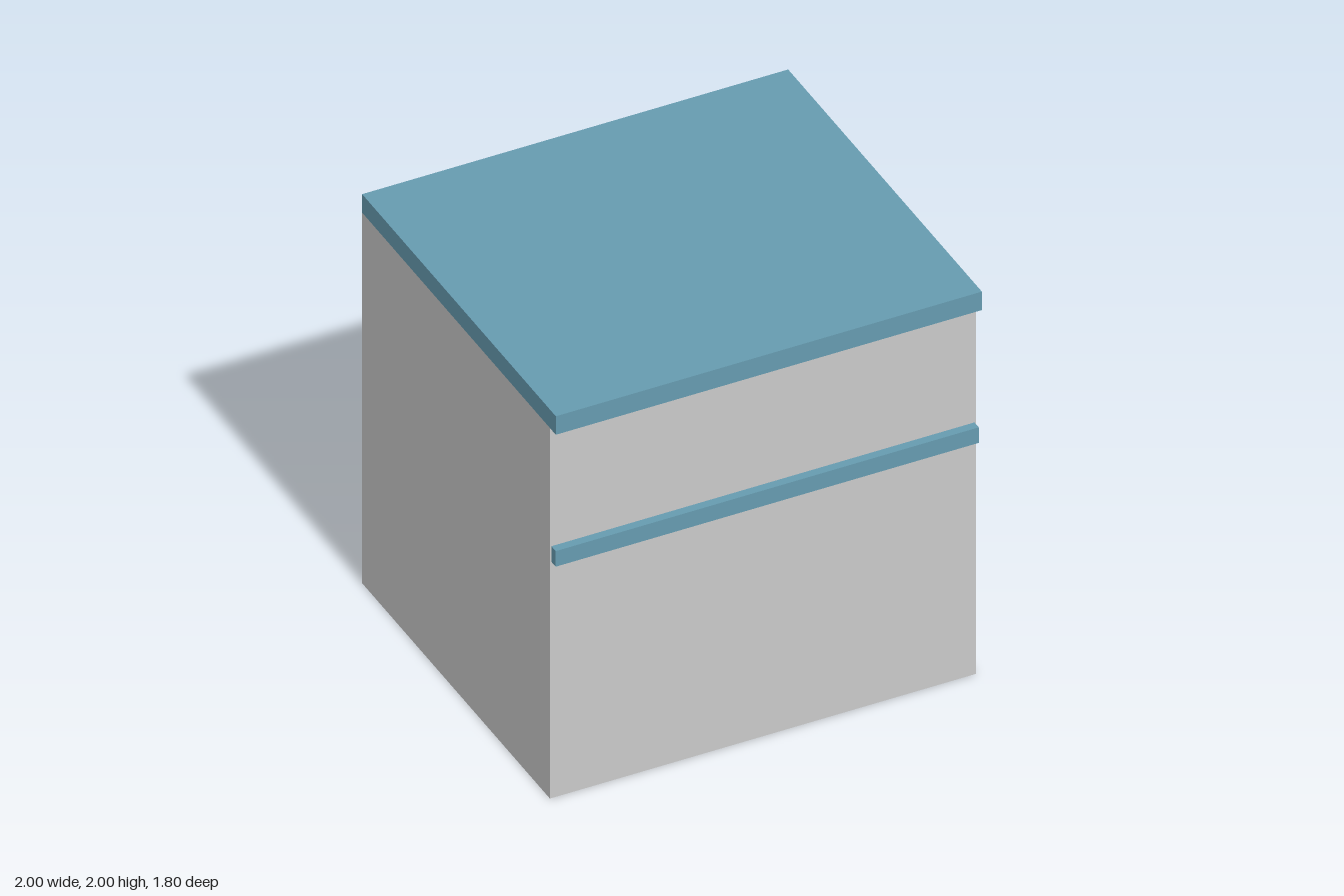
import * as THREE from 'three';

export function createModel() {
  const group = new THREE.Group();
  const grey = new THREE.MeshStandardMaterial({ color: 0xc9c9c9 });
  grey.name = 'light grey';
  const blue = new THREE.MeshStandardMaterial({ color: 0x669bb0 });
  blue.name = 'dusty blue';

  // Box given by its lower and upper corners
  function box(name, material, [x0, y0, z0], [x1, y1, z1]) {
    const mesh = new THREE.Mesh(new THREE.BoxGeometry(x1 - x0, y1 - y0, z1 - z0), material);
    mesh.position.set((x0 + x1) / 2, (y0 + y1) / 2, (z0 + z1) / 2);
    mesh.name = name;
    group.add(mesh);
  }

  // Cabinet body, flush with the top at the sides and back
  box('cabinetBody', grey, [-1, 0, -0.9], [1, 1.905, 0.845]);
  // Worktop overhanging the front
  box('worktop', blue, [-1, 1.905, -0.9], [1, 2, 0.9]);
  // Full-width handle rail on the front
  box('handleRail', blue, [-0.993, 1.215, 0.845], [0.993, 1.295, 0.885]);

  return group;
}
